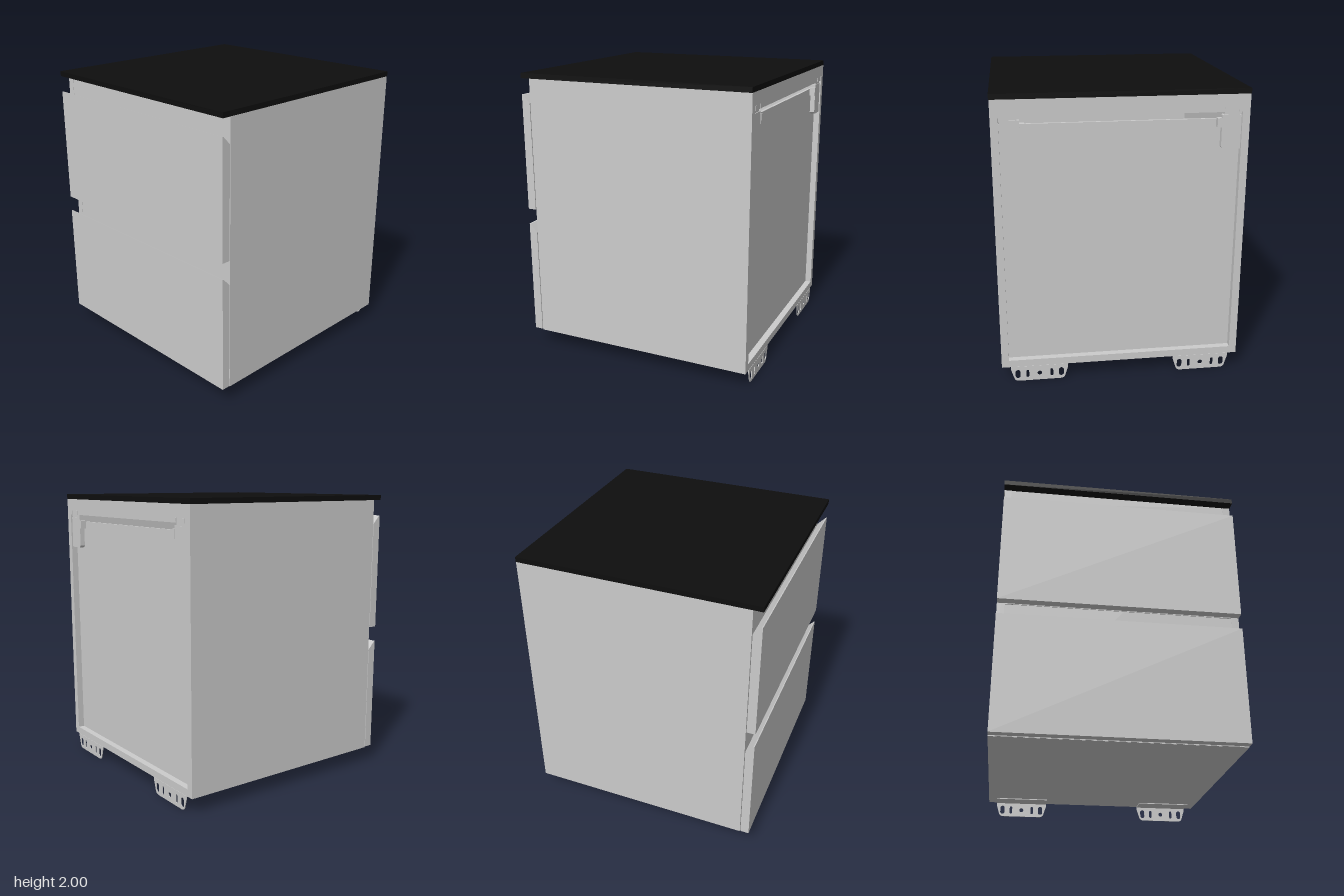
import * as THREE from 'three';

const grey = new THREE.MeshStandardMaterial({ color: 0xcccccc });
const black = new THREE.MeshStandardMaterial({ color: 0x0e0e0e });

// Box given by its limits on each axis
function box(parent, name, [x0, x1], [y0, y1], [z0, z1], material = grey) {
  const mesh = new THREE.Mesh(new THREE.BoxGeometry(x1 - x0, y1 - y0, z1 - z0), material);
  mesh.position.set((x0 + x1) / 2, (y0 + y1) / 2, (z0 + z1) / 2);
  mesh.name = name;
  parent.add(mesh);
  return mesh;
}

function extrude(parent, name, shape, depth) {
  const geometry = new THREE.ExtrudeGeometry(shape, { depth, bevelEnabled: false, curveSegments: 8 });
  const mesh = new THREE.Mesh(geometry, grey);
  mesh.name = name;
  parent.add(mesh);
  return mesh;
}

// Upright rounded slot; a round hole when h equals w
function slot(x, y, w, h) {
  const r = w / 2, s = h / 2 - r;
  const path = new THREE.Path();
  path.absarc(x, y + s, r, 0, Math.PI, false);
  path.absarc(x, y - s, r, Math.PI, Math.PI * 2, false);
  path.closePath();
  return path;
}

function createCarcass() {
  const g = new THREE.Group();
  g.name = 'carcass';
  const inner = [-0.775, 0.775];
  for (const s of [-1, 1]) {
    box(g, 'sidePanel', s < 0 ? [-0.825, -0.775] : [0.775, 0.825], [0.11, 1.965], [-0.828, 0.765]);
  }
  box(g, 'bottomPanel', inner, [0.11, 0.16], [-0.828, 0.763]);
  box(g, 'topRearRail', inner, [1.85, 1.965], [-0.828, -0.5]);
  box(g, 'topFrontRail', inner, [1.85, 1.965], [0.65, 0.763]);
  box(g, 'backPanel', inner, [0.16, 1.8], [-0.783, -0.765]);
  box(g, 'innerFront', inner, [0.16, 1.85], [0.745, 0.763]);
  return g;
}

// Drawer front with its top edge sloped back as a finger grip
function createDrawer(y) {
  const g = new THREE.Group();
  g.name = 'drawer';
  const profile = new THREE.Shape([
    [0.77, 0], [0.83, 0], [0.83, 0.815], [0.822, 0.812], [0.77, 0.757],
  ].map(([z, h]) => new THREE.Vector2(-z, h)));
  const front = extrude(g, 'drawerFront', profile, 1.65);
  front.rotation.y = Math.PI / 2;
  front.position.x = -0.825;
  // Fixings between the front and the drawer sides
  for (const s of [-1, 1]) {
    const x = s < 0 ? [-0.77, -0.69] : [0.69, 0.77];
    box(g, 'drawerFixing', x, [-0.005, 0.39], [0.76, 0.771]);
  }
  box(g, 'drawerLowerEdge', [-0.77, 0.77], [-0.004, 0.03], [0.76, 0.768]);
  g.position.y = y;
  return g;
}

// Slotted wall bracket under the rear edge
function createFootBracket() {
  const g = new THREE.Group();
  g.name = 'footBracket';
  const plate = new THREE.Shape();
  plate.moveTo(-0.197, 0.11);
  plate.lineTo(-0.197, 0.09);
  plate.lineTo(-0.177, 0.025);
  plate.quadraticCurveTo(-0.17, 0.002, -0.145, 0);
  plate.lineTo(0.145, 0);
  plate.quadraticCurveTo(0.17, 0.002, 0.177, 0.025);
  plate.lineTo(0.197, 0.09);
  plate.lineTo(0.197, 0.11);
  plate.closePath();
  plate.holes.push(slot(0, 0.052, 0.032, 0.032));
  for (const s of [-1, 1]) {
    plate.holes.push(slot(s * 0.15, 0.052, 0.034, 0.064), slot(s * 0.083, 0.052, 0.02, 0.058));
  }
  extrude(g, 'bracketPlate', plate, 0.005).position.z = -0.83;
  box(g, 'bracketFlange', [-0.197, 0.197], [0.104, 0.11], [-0.83, -0.69]);
  return g;
}

// Hanging fitting in an upper rear corner, drawn for the +x side
function createHanger() {
  const g = new THREE.Group();
  g.name = 'hanger';
  const cover = new THREE.Shape();
  cover.moveTo(0.645, 1.83);
  cover.lineTo(0.645, 1.62);
  cover.quadraticCurveTo(0.66, 1.6, 0.69, 1.605);
  cover.lineTo(0.772, 1.605);
  cover.lineTo(0.772, 1.83);
  cover.closePath();
  extrude(g, 'hangerCover', cover, 0.035).position.z = -0.82;
  box(g, 'hangerHead', [0.66, 0.772], [1.83, 1.855], [-0.815, -0.79]);
  box(g, 'hangerHook', [0.615, 0.645], [1.75, 1.81], [-0.825, -0.785]);
  for (const x of [0.66, 0.75]) box(g, 'hangerTab', [x, x + 0.018], [1.85, 1.88], [-0.832, -0.815]);
  return g;
}

export function createModel() {
  const model = new THREE.Group();
  model.name = 'drawerCabinet';
  model.add(createCarcass());
  box(model, 'worktop', [-0.828, 0.828], [1.965, 2], [-0.828, 0.83], black);
  for (const y of [0.115, 1.04]) model.add(createDrawer(y));
  for (const s of [-1, 1]) {
    const foot = createFootBracket();
    foot.position.x = s * 0.567;
    const hanger = createHanger();
    hanger.scale.x = s;
    model.add(foot, hanger);
  }
  return model;
}
